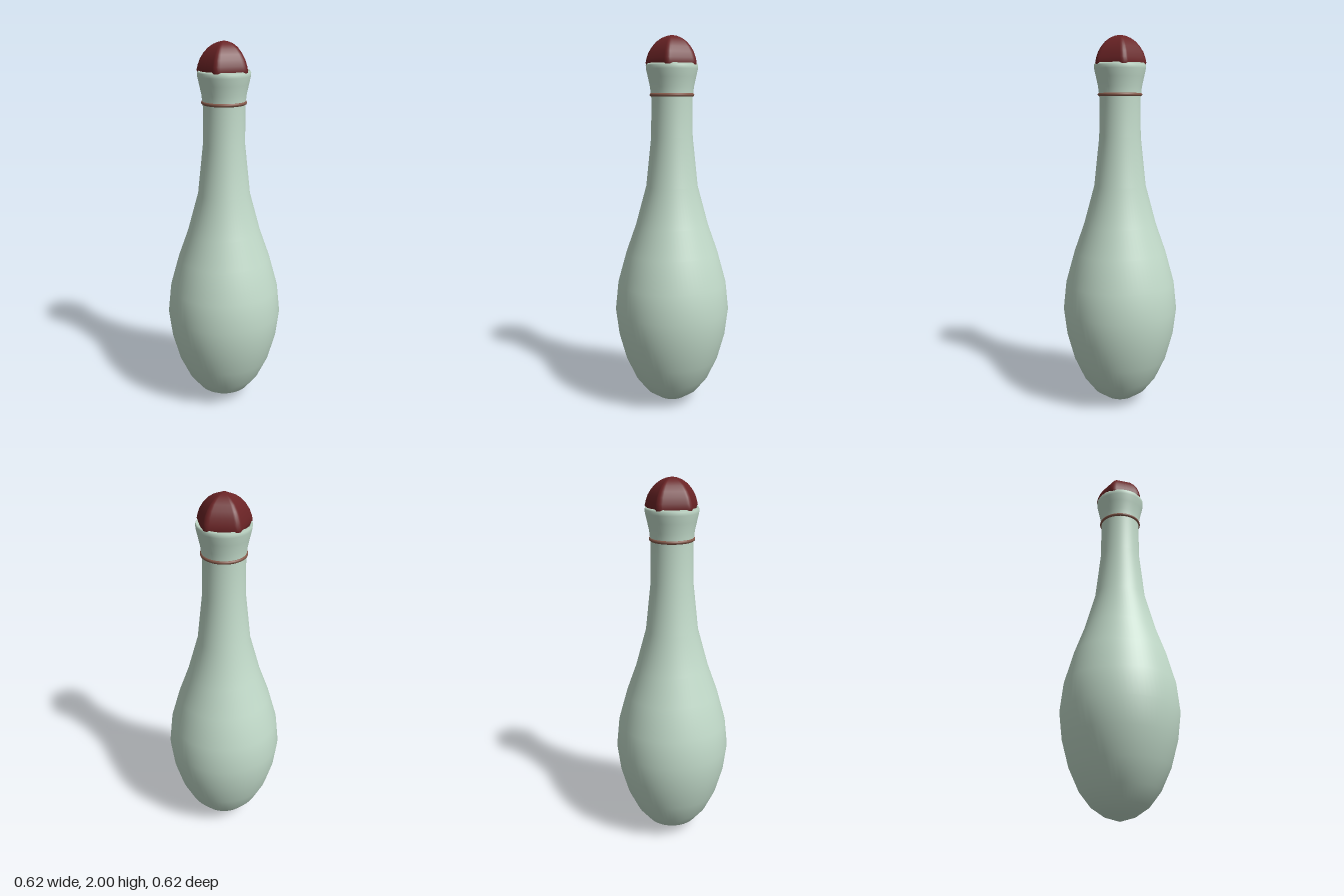
import * as THREE from 'three';

const mat = (name, color, side = THREE.FrontSide) =>
  Object.assign(new THREE.MeshStandardMaterial({ color, side }), { name });

// Rounded five-sided outline with one corner toward the back (-z)
function capRadius(angle) {
  const step = (Math.PI * 2) / 5;
  const a = (((angle + Math.PI) % step) + step) % step; // 0 at a corner
  return Math.min(0.117 / Math.cos(a - step / 2), 0.137);
}

export function createModel() {
  const glass = mat('paleGreenGlass', 0xc3dccb, THREE.DoubleSide);
  const wax = mat('darkRedWax', 0x6a2325);
  const band = mat('brownBand', 0x85594a);
  const model = new THREE.Group();
  const add = (name, geometry, material, y = 0) => {
    const mesh = new THREE.Mesh(geometry, material);
    mesh.name = name;
    mesh.position.y = y;
    model.add(mesh);
    return mesh;
  };

  // Bottle: round belly, slim neck, flared lip and the inside of the mouth
  const profile = [
    [0, 0], [0.08, 0.025], [0.145, 0.07], [0.203, 0.145], [0.256, 0.26],
    [0.294, 0.4], [0.311, 0.54], [0.295, 0.69], [0.248, 0.86], [0.195, 1.01],
    [0.138, 1.22], [0.11, 1.48], [0.108, 1.68], [0.115, 1.74], [0.126, 1.79],
    [0.135, 1.83], [0.136, 1.848], [0.13, 1.858], [0.122, 1.845], [0.108, 1.79], [0.09, 1.74],
  ].map(([r, y]) => new THREE.Vector2(r, y));
  add('bottle', new THREE.LatheGeometry(profile, 64), glass);

  // Thin band around the neck
  const ring = new THREE.TorusGeometry(0.108, 0.009, 10, 64).rotateX(Math.PI / 2);
  add('neckBand', ring, band, 1.698);

  // Wax cap: a dome lathe whose rings are reshaped to a rounded pentagon
  const dome = [
    [0, -0.06], [0.8, -0.06], [0.9, -0.03], [0.97, -0.008], [1, 0.006], [0.96, 0.03],
    [0.88, 0.06], [0.76, 0.086], [0.6, 0.111], [0.4, 0.13], [0.2, 0.141], [0, 0.146],
  ].map(([r, y]) => new THREE.Vector2(r, y));
  const cap = new THREE.LatheGeometry(dome, 80);
  const p = cap.attributes.position;
  for (let i = 0; i < p.count; i++) {
    const x = p.getX(i), z = p.getZ(i);
    const k = capRadius(Math.atan2(x, z));
    p.setX(i, x * k);
    p.setZ(i, z * k);
  }
  cap.computeVertexNormals();
  add('waxCap', cap, wax, 1.854);

  return model;
}
